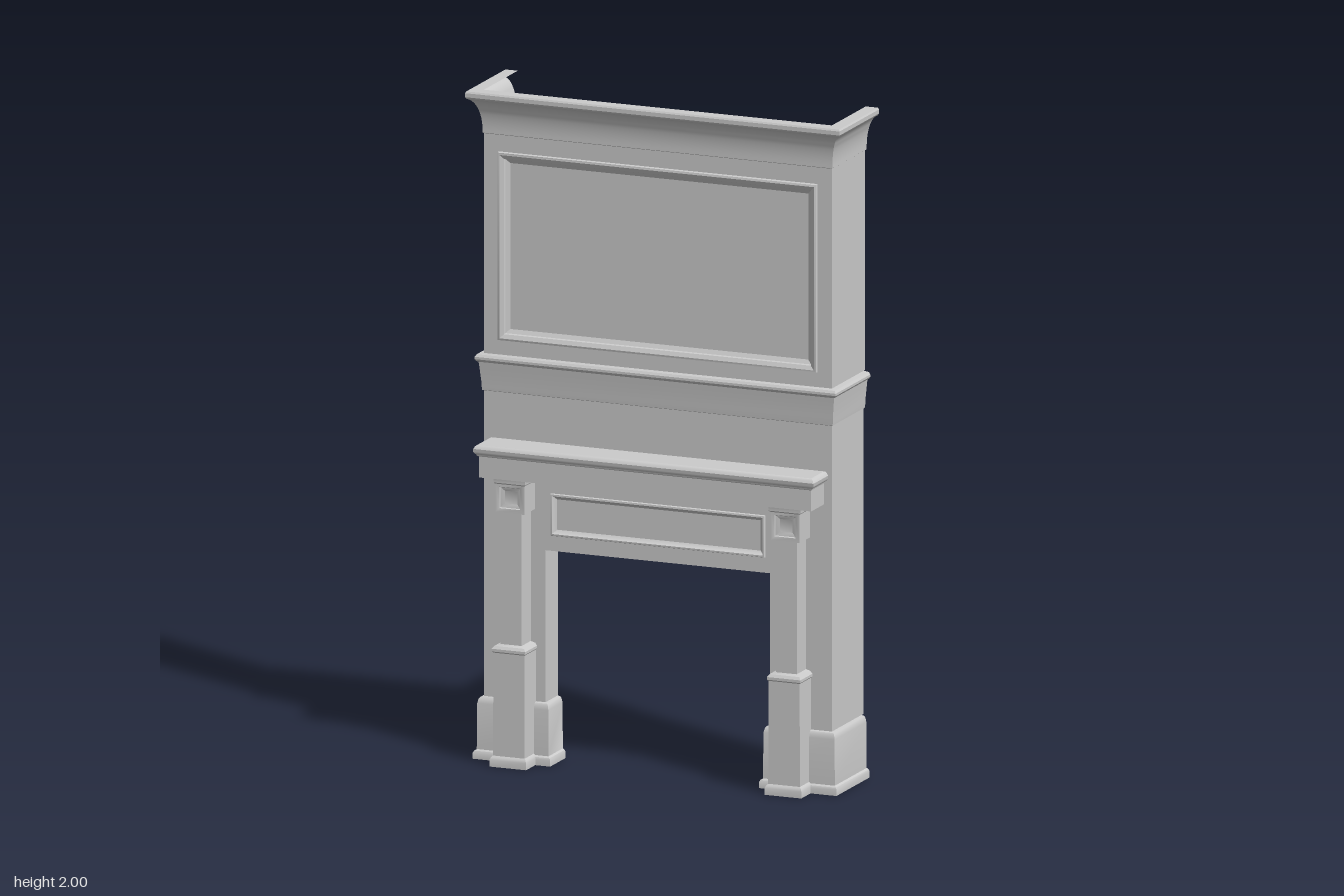
import * as THREE from 'three';
import { toCreasedNormals } from 'three/addons/utils/BufferGeometryUtils.js';

const material = new THREE.MeshStandardMaterial({ color: 0xcccccc, side: THREE.DoubleSide });

// Main dimensions
const W = 0.55, FRONT = 0.07, BACK = -0.175;
const OPEN_W = 0.355, OPEN_H = 0.64, REVEAL = -0.02;
const BASE_H = 0.185, BELT_Y0 = 1.10, BELT_Y1 = 1.212, CROWN_Y = 1.87;

function gridGeometry(rows, closed) {
  const n = rows[0].length, pos = [], index = [];
  rows.forEach(r => r.forEach(p => pos.push(...p)));
  for (let j = 0; j < rows.length - 1; j++) {
    for (let i = 0; i < (closed ? n : n - 1); i++) {
      const k = (i + 1) % n;
      const a = j * n + i, b = j * n + k, c = (j + 1) * n + k, d = (j + 1) * n + i;
      index.push(a, b, c, a, c, d);
    }
  }
  if (closed) { // flat face over the last ring
    const s = (rows.length - 1) * n;
    index.push(s, s + 1, s + 2, s, s + 2, s + 3);
  }
  const g = new THREE.BufferGeometry();
  g.setAttribute('position', new THREE.Float32BufferAttribute(pos, 3));
  g.setIndex(index);
  return toCreasedNormals(g, 0.5);
}

// Sweep a profile of [outward offset, y] along a plan path of [x, z] with mitred corners
function sweep(path, profile) {
  const normals = path.slice(1).map((p, i) => {
    const dx = p[0] - path[i][0], dz = p[1] - path[i][1], l = Math.hypot(dx, dz);
    return [-dz / l, dx / l];
  });
  const miters = path.map((_, i) => {
    const a = normals[Math.max(i - 1, 0)], b = normals[Math.min(i, normals.length - 1)];
    const k = 1 + a[0] * b[0] + a[1] * b[1];
    return [(a[0] + b[0]) / k, (a[1] + b[1]) / k];
  });
  return gridGeometry(profile.map(([o, y]) =>
    path.map((p, i) => [p[0] + miters[i][0] * o, y, p[1] + miters[i][1] * o])), false);
}

// Stepped rectangular panel from rings of [inset, z]
function panel(x0, x1, y0, y1, rings) {
  return gridGeometry(rings.map(([s, z]) => [
    [x0 + s, y0 + s, z], [x1 - s, y0 + s, z], [x1 - s, y1 - s, z], [x0 + s, y1 - s, z]]), true);
}

function wallFace(outline, hole) {
  const v = pts => pts.map(p => new THREE.Vector2(...p));
  const shape = new THREE.Shape(v(outline));
  const [x0, x1, y0, y1] = hole;
  shape.holes.push(new THREE.Path(v([[x0, y0], [x0, y1], [x1, y1], [x1, y0]])));
  return new THREE.ShapeGeometry(shape).translate(0, 0, FRONT);
}

const mirrorPath = path => path.map(([x, z]) => [-x, z]).reverse();
const uPath = (x0, x1, back, front) => [[x0, back], [x0, front], [x1, front], [x1, back]];

export function createModel() {
  const group = new THREE.Group();
  const add = (name, geometry) => {
    const mesh = new THREE.Mesh(geometry, material);
    mesh.name = name;
    group.add(mesh);
    return mesh;
  };

  // Front walls, with openings for the inset panels
  const upperHole = [-0.505, 0.505, 1.255, 1.82], lowerHole = [-0.34, 0.34, 0.685, 0.812];
  add('upperFrontWall', wallFace(
    [[-W, BELT_Y1], [W, BELT_Y1], [W, CROWN_Y], [-W, CROWN_Y]], upperHole));
  add('lowerFrontWall', wallFace(
    [[-W, BASE_H], [-OPEN_W, BASE_H], [-OPEN_W, OPEN_H], [OPEN_W, OPEN_H], [OPEN_W, BASE_H],
      [W, BASE_H], [W, BELT_Y0], [-W, BELT_Y0]], lowerHole));

  // Moulded frames around the recessed panels
  const panelRings = [[0, FRONT], [0.002, 0.078], [0.008, 0.08], [0.014, 0.077],
    [0.02, 0.074], [0.022, 0.067], [0.034, 0.06]];
  add('upperPanel', panel(...upperHole, panelRings));
  add('friezePanel', panel(...lowerHole,
    [[0, FRONT], [0.002, 0.075], [0.007, 0.076], [0.011, 0.068], [0.018, 0.063]]));

  // Side walls
  const left = (z) => [[W, FRONT], [W, z]];
  for (const [side, map] of [['left', p => p], ['right', mirrorPath]]) {
    add(side + 'UpperSideWall', sweep(map(left(BACK)), [[0, BELT_Y1], [0, CROWN_Y]]));
    add(side + 'LowerSideWall', sweep(map(left(-0.165)), [[0, BASE_H], [0, BELT_Y0]]));

    // Opening jamb
    add(side + 'Jamb', sweep(map([[OPEN_W, REVEAL], [OPEN_W, FRONT]]), [[0, BASE_H], [0, OPEN_H]]));

    // Skirting wrapped around the wall foot
    add(side + 'Skirting', sweep(
      map([[OPEN_W, REVEAL], [OPEN_W, FRONT], [W, FRONT], [W, -0.15]]),
      [[0.025, 0], [0.025, 0.018], [0.022, 0.024], [0.016, 0.028], [0.015, 0.165],
        [0.012, 0.178], [0.008, 0.183], [0, BASE_H]]));

    // Pilaster: foot, plinth and shaft in one profile
    const cx = 0.435;
    add(side + 'Pilaster', sweep(map(uPath(cx - 0.033, cx + 0.033, FRONT, 0.138)),
      [[0.025, 0], [0.025, 0.02], [0.022, 0.027], [0.017, 0.032], [0.016, 0.34], [0.02, 0.344],
        [0.02, 0.352], [0.014, 0.36], [0, 0.364], [0, 0.765]]));

    // Capital block with a sunk square
    const s = side === 'left' ? 1 : -1;
    add(side + 'Capital', panel(s * cx - 0.046, s * cx + 0.046, 0.76, 0.85,
      [[0, FRONT], [0, 0.148], [0.013, 0.148], [0.015, 0.144], [0.026, 0.138]]));
    add(side + 'CapitalNeck', sweep(map(uPath(cx - 0.046, cx + 0.046, FRONT, 0.148)),
      [[0, 0.845], [0.004, 0.849], [0.004, 0.857], [0.006, 0.868]]));
  }

  // Underside of the lintel
  const lintel = add('lintelSoffit', new THREE.PlaneGeometry(2 * OPEN_W, FRONT - REVEAL));
  lintel.rotation.x = Math.PI / 2;
  lintel.position.set(0, OPEN_H, (FRONT + REVEAL) / 2);

  // Mantel shelf with a rounded edge
  const depth = 0.165 - FRONT - 0.001;
  add('mantelShelf', new THREE.BoxGeometry(1.05, 0.099, depth)
    .translate(0, 0.9125, 0.165 - depth / 2));
  add('mantelEdge', sweep(uPath(-0.525, 0.525, FRONT, 0.165),
    [[0, 0.926], [0.005, 0.929], [0.006, 0.933], [0.01, 0.936], [0.013, 0.942], [0.013, 0.95],
      [0.009, 0.957], [0.004, 0.961], [0, 0.962]]));

  // Belt moulding between lower and upper walls
  add('beltMoulding', sweep(uPath(-W, W, -0.165, FRONT),
    [[0, BELT_Y0], [0.004, 1.102], [0.005, 1.112], [0.006, 1.13], [0.01, 1.17], [0.012, 1.187],
      [0.017, 1.19], [0.021, 1.196], [0.021, 1.203], [0.016, 1.21], [0, BELT_Y1]]));

  // Crown: concave cove, rounded lip and flat top
  const crown = [[0, CROWN_Y], [0.003, 1.872], [0.003, 1.88]];
  for (let i = 1; i <= 10; i++) {
    const a = (i / 10) * Math.PI * 0.42;
    crown.push([0.003 + 0.04 * (1 - Math.cos(a)), 1.88 + 0.098 * Math.sin(a)]);
  }
  crown.push([0.038, 1.977], [0.042, 1.983], [0.042, 1.995], [0.039, 2], [0, 2]);
  add('crownMoulding', sweep(uPath(-W, W, -0.18, FRONT), crown));

  return group;
}
